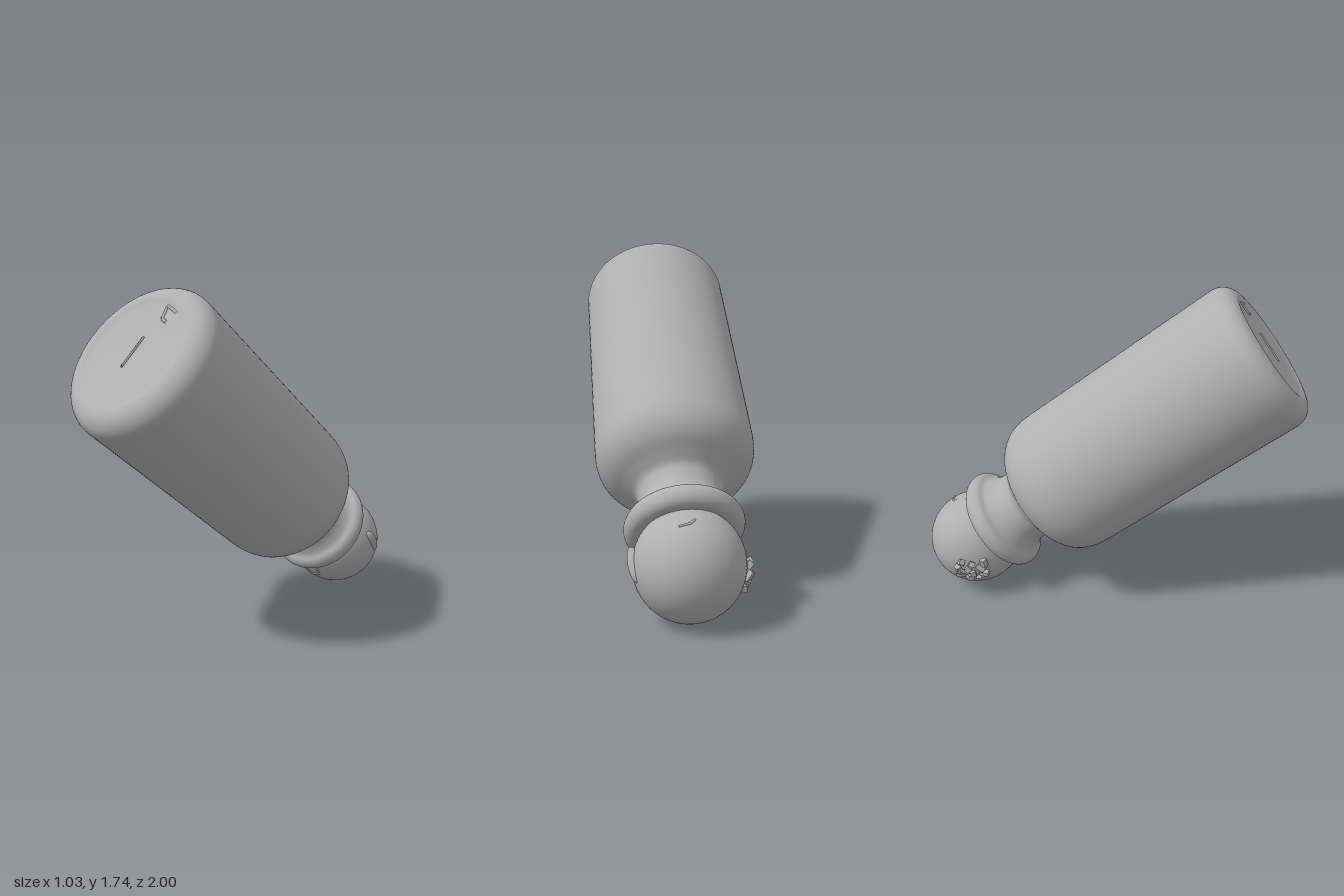
import * as THREE from 'three';

const grey = new THREE.MeshStandardMaterial({ color: 0xb0b0b0, side: THREE.DoubleSide });
grey.name = 'plain grey';

const V = (x, y, z) => new THREE.Vector3(x, y, z);
const centre = V(0.235, 0.26, -0.74);               // ball centre
const axis = V(-0.189, 0.609, 0.77).normalize();    // from ball towards base

// Points of a rounded corner: centre (r, t), radius c, from angle a to b
function arc(r, t, c, a, b, n = 8) {
  return Array.from({ length: n + 1 }, (_, i) => {
    const k = a + (b - a) * i / n;
    return new THREE.Vector2(r + c * Math.cos(k), t + c * Math.sin(k));
  });
}

function add(parent, name, geometry) {
  const mesh = new THREE.Mesh(geometry, grey);
  mesh.name = name;
  parent.add(mesh);
  return mesh;
}

export function createModel() {
  const model = new THREE.Group();
  model.name = 'tippedPegFigure';

  const figure = new THREE.Group();
  figure.name = 'figure';
  figure.position.copy(centre);
  figure.quaternion.setFromUnitVectors(V(0, 1, 0), axis);
  model.add(figure);

  // Head
  add(figure, 'head', new THREE.SphereGeometry(0.26, 64, 40));

  // Flared collar, waisted neck and round shoulder as one smooth profile
  const upper = new THREE.SplineCurve([
    [0.2, 0.15], [0.245, 0.148], [0.275, 0.17], [0.286, 0.21], [0.27, 0.245],
    [0.235, 0.27], [0.207, 0.32], [0.203, 0.37], [0.215, 0.42], [0.262, 0.458],
    [0.33, 0.503], [0.375, 0.56], [0.397, 0.63], [0.402, 0.71],
  ].map(([r, t]) => new THREE.Vector2(r, t))).getPoints(80);

  // Straight body, rounded rim and shallow dished base
  const profile = [
    new THREE.Vector2(0, 0.15),
    ...upper,
    new THREE.Vector2(0.402, 1.3),
    ...arc(0.302, 1.88, 0.1, 0, Math.PI / 2, 12),
    new THREE.Vector2(0.285, 1.977),
    new THREE.Vector2(0.265, 1.971),
    new THREE.Vector2(0.15, 1.968),
    new THREE.Vector2(0, 1.967),
  ];
  add(figure, 'body', new THREE.LatheGeometry(profile, 96));

  // Scratch and small open square on the base
  const ridge = (name, pts, r) => add(model, name, new THREE.TubeGeometry(
    new THREE.CatmullRomCurve3(pts, false, 'catmullrom', 0.1), 16, r, 6));
  ridge('baseScratch', [V(-0.17, 1.4, 0.815), V(-0.105, 1.53, 0.728)], 0.006);
  ridge('baseNotch', [V(0, 1.595, 0.703), V(-0.035, 1.61, 0.682), V(-0.03, 1.665, 0.64),
    V(0.045, 1.635, 0.682)], 0.009);

  // Lug on the left side of the head
  const lug = add(model, 'headLug', new THREE.SphereGeometry(1, 16, 12));
  lug.position.set(0.484, 0.28, -0.71);
  lug.scale.set(0.032, 0.085, 0.026);
  lug.rotation.x = 0.65;

  // Rough patch of small chips on the right side of the head
  const patch = new THREE.Group();
  patch.name = 'roughPatch';
  model.add(patch);
  for (let i = 0; i < 12; i++) {
    const row = i % 4, col = Math.floor(i / 4);
    const dir = V(-0.235, -0.11 + row * 0.035, -0.12 + col * 0.06 + (row % 2) * 0.02).normalize();
    const chip = add(patch, 'chip', new THREE.BoxGeometry(0.028, 0.03, 0.05));
    chip.position.copy(centre).addScaledVector(dir, 0.258 + (i * 7 % 5) * 0.003);
    chip.rotation.set(i * 0.7, i * 0.3, i * 0.5);
  }

  // Curved marks on the head
  const onHead = (list) => list.map(([x, y, z]) =>
    V(x, y, z).sub(centre).setLength(0.259).add(centre));
  ridge('topMark', onHead([[0.25, 0.49, -0.84], [0.28, 0.49, -0.86], [0.33, 0.48, -0.85]]), 0.007);
  ridge('frontMark', onHead([[0.14, 0.14, -0.54], [0.16, 0.07, -0.58], [0.22, 0.08, -0.56],
    [0.22, 0.14, -0.52]]), 0.008);

  return model;
}
